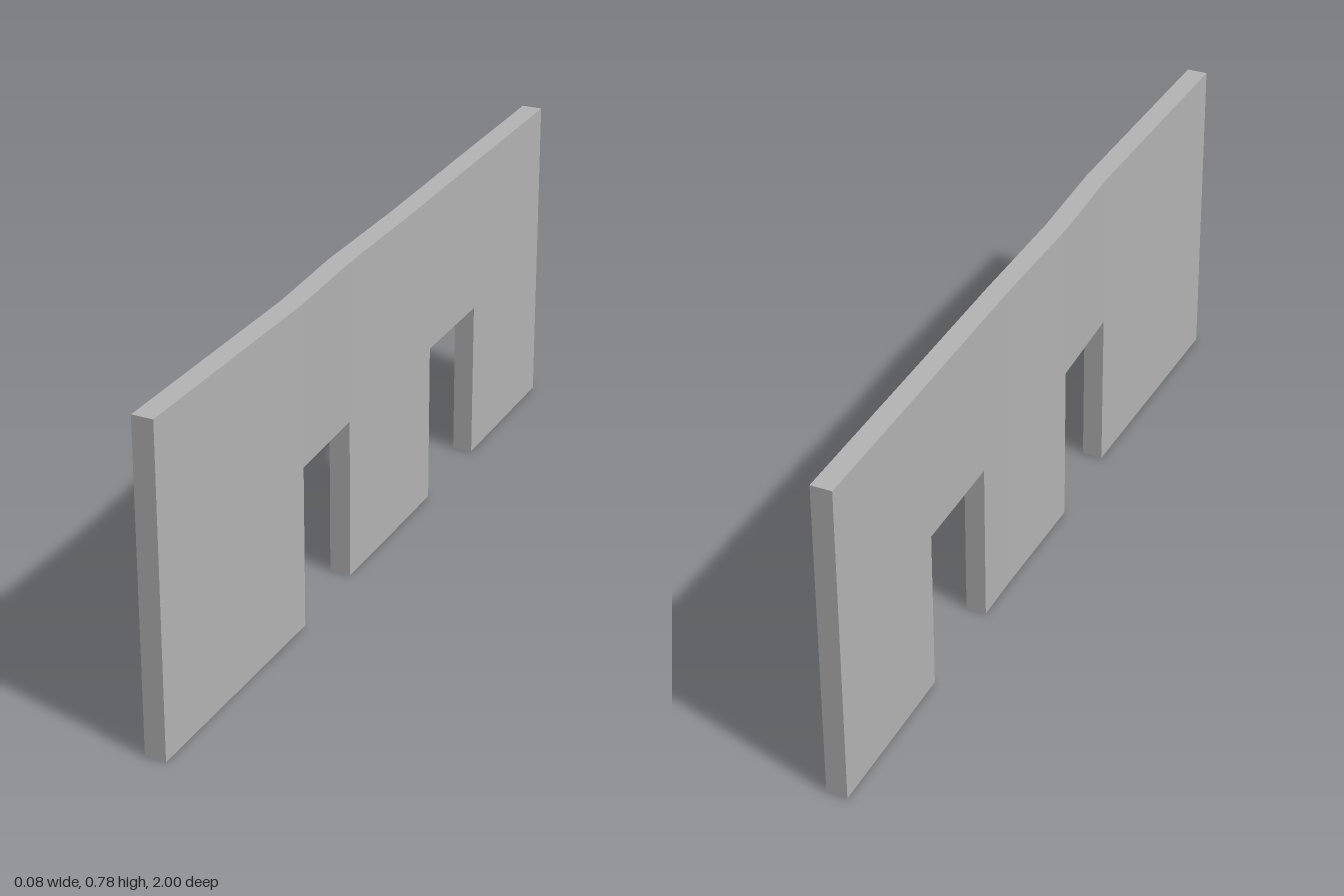
import * as THREE from 'three';

const HEIGHT = 0.78, DOOR = 0.395, BASE = 0;

// Plan of the slightly bent wall: z, right face x, left face x
const stations = [
  [-1, -0.042, 0.008],
  [-0.58, -0.033, 0.017],
  [-0.31, -0.026, 0.023],
  [-0.18, -0.023, 0.026],
  [0.13, -0.022, 0.029],
  [0.38, -0.008, 0.042],
  [1, -0.008, 0.042],
];
// Underside height of the wall between neighbouring stations
const undersides = [BASE, DOOR, BASE, BASE, DOOR, BASE];

function wallGeometry() {
  const positions = [];
  const quad = (a, b, c, d) => positions.push(...a, ...b, ...c, ...a, ...c, ...d);

  // Upright face across the thickness, turned to the front or the back
  const endFace = ([z, r, l], y0, y1, front) => {
    const c = [[r, y0, z], [l, y0, z], [l, y1, z], [r, y1, z]];
    quad(...(front ? c : c.reverse()));
  };

  undersides.forEach((y, i) => {
    const [z0, r0, l0] = stations[i], [z1, r1, l1] = stations[i + 1];
    quad([l1, y, z1], [l0, y, z0], [l0, HEIGHT, z0], [l1, HEIGHT, z1]); // left face
    quad([r0, y, z0], [r1, y, z1], [r1, HEIGHT, z1], [r0, HEIGHT, z0]); // right face
    quad([r1, HEIGHT, z1], [l1, HEIGHT, z1], [l0, HEIGHT, z0], [r0, HEIGHT, z0]); // top
    quad([r0, y, z0], [l0, y, z0], [l1, y, z1], [r1, y, z1]); // underside or lintel

    // Door jambs
    if (y === DOOR) {
      endFace(stations[i], BASE, DOOR, true);
      endFace(stations[i + 1], BASE, DOOR, false);
    }
  });

  // Wall ends
  endFace(stations[0], BASE, HEIGHT, false);
  endFace(stations[stations.length - 1], BASE, HEIGHT, true);

  const geometry = new THREE.BufferGeometry();
  geometry.setAttribute('position', new THREE.Float32BufferAttribute(positions, 3));
  geometry.computeVertexNormals();
  return geometry;
}

export function createModel() {
  const group = new THREE.Group();
  group.name = 'wallWithDoorways';

  const plaster = new THREE.MeshStandardMaterial({ color: 0xb4b4b4 });
  plaster.name = 'grey plaster';

  const wall = new THREE.Mesh(wallGeometry(), plaster);
  wall.name = 'wall';
  group.add(wall);
  return group;
}
